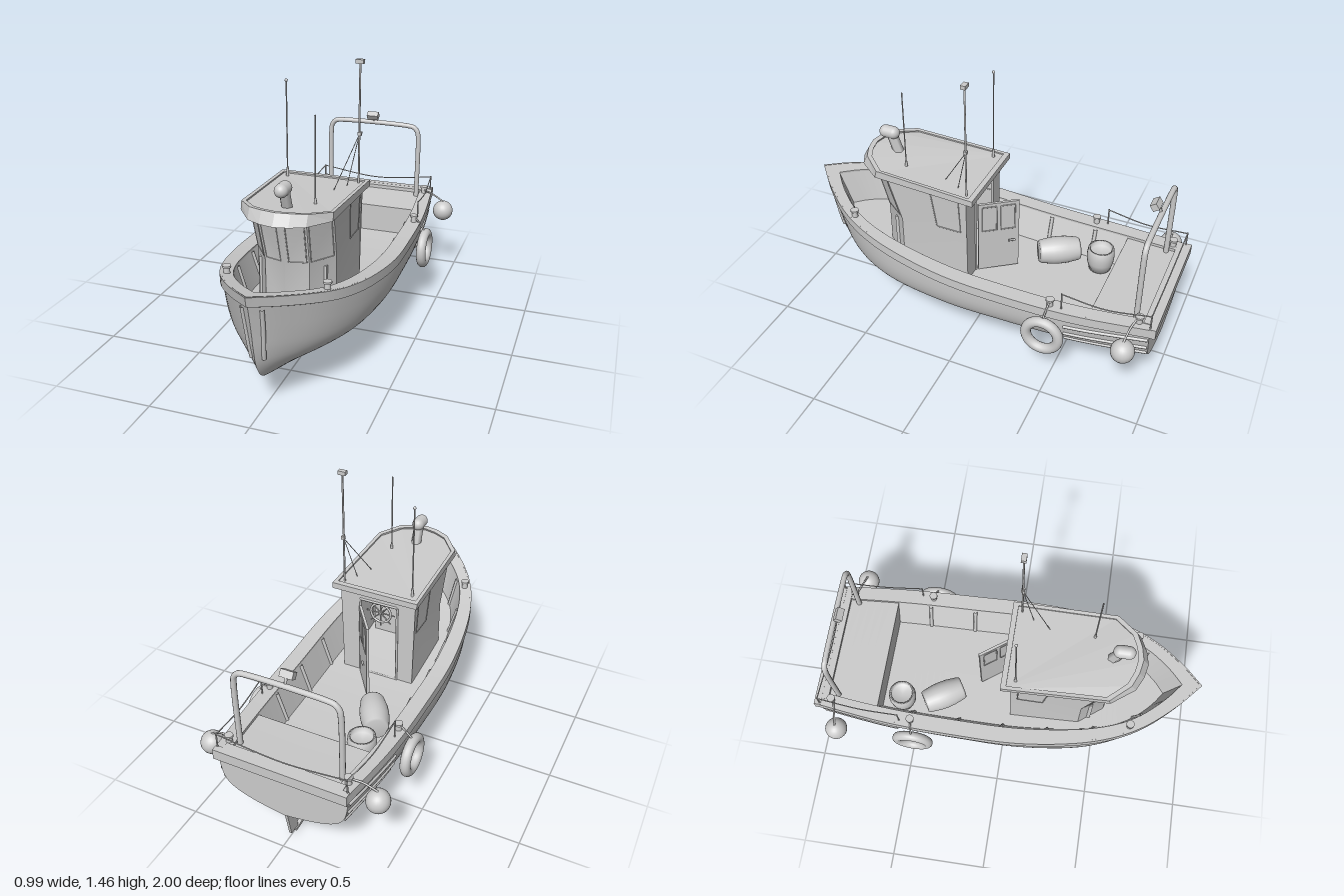
import * as THREE from 'three';
import { toCreasedNormals } from 'three/addons/utils/BufferGeometryUtils.js';

const V = (x, y, z) => new THREE.Vector3(x, y, z);
const { lerp, clamp } = THREE.MathUtils;
const grey = new THREE.MeshStandardMaterial({ color: 0xcccccc, side: THREE.DoubleSide });

// Smooth interpolation through a table of [x, y] pairs
function curve(table, x) {
  const n = table.length - 1;
  let i = 0;
  while (i < n - 1 && x > table[i + 1][0]) i++;
  const slope = k => {
    const a = table[Math.max(k - 1, 0)], b = table[Math.min(k + 1, n)];
    return (b[1] - a[1]) / (b[0] - a[0]);
  };
  const [x0, y0] = table[i], [x1, y1] = table[i + 1], h = x1 - x0;
  const t = clamp((x - x0) / h, 0, 1), t2 = t * t, t3 = t2 * t;
  return (2 * t3 - 3 * t2 + 1) * y0 + (t3 - 2 * t2 + t) * h * slope(i)
    + (3 * t2 - 2 * t3) * y1 + (t3 - t2) * h * slope(i + 1);
}
const listCurve = (list, t) => curve(list.map((y, i) => [i, y]), t * (list.length - 1));

// Hull lines: half breadth, sheer height, keel height, cross-sections
const halfBeam = u => curve([[-1, .333], [-.6, .375], [-.2, .389], [.1, .389], [.4, .354], [.6, .3], [.75, .225], [.9, .105], [1, 0]], u);
const sheer = u => curve([[-1, .475], [-.6, .457], [-.3, .457], [0, .47], [.3, .503], [.6, .55], [.8, .594], [1, .64]], u);
const keelY = u => curve([[-1, .183], [-.6, .142], [-.2, .11], [.2, .1], [.6, .1], [1, .115]], u);
const rake = u => Math.max(0, (u - .3) / .7) ** 2;
const sternX = [0, .22, .48, .74, .9, .97, 1, 1], sternY = [0, .04, .1, .2, .34, .54, .8, 1];
const midX = [0, .1, .36, .72, .9, .975, 1, 1], midY = [0, .05, .16, .28, .4, .58, .8, 1];
const bowX = [0, .1, .28, .48, .64, .78, .9, 1], bowY = [0, .05, .12, .26, .43, .6, .79, 1];
const stemZ = [.64, .76, .85, .905, .93, .945, .965, .99];
function hullPoint(u, t) {
  const w = rake(u), aft = clamp((-u - .2) / .75, 0, 1), k = keelY(u);
  const blend = (stern, mid, bow) =>
    lerp(lerp(listCurve(mid, t), listCurve(stern, t), aft), listCurve(bow, t), w);
  return V(halfBeam(u) * blend(sternX, midX, bowX),
    k + (sheer(u) - k) * blend(sternY, midY, bowY),
    u - w * (1 - listCurve(stemZ, t)));
}

// Surface through rows of points
function loft(rows, crease = .6) {
  const n = rows[0].length, index = [];
  for (let i = 0; i < rows.length - 1; i++) for (let j = 0; j < n - 1; j++) {
    const a = i * n + j;
    index.push(a, a + n, a + 1, a + 1, a + n, a + n + 1);
  }
  const g = new THREE.BufferGeometry().setFromPoints(rows.flat());
  g.setIndex(index);
  return toCreasedNormals(g, crease);
}
const range = (a, b, n, f) => Array.from({ length: n + 1 }, (_, i) => f(lerp(a, b, i / n)));

function mesh(parent, name, geo, x = 0, y = 0, z = 0) {
  const m = new THREE.Mesh(geo, grey);
  m.name = name;
  m.position.set(x, y, z);
  parent.add(m);
  return m;
}
const tube = (parent, name, pts, r, seg = 24, sides = 8) =>
  mesh(parent, name, new THREE.TubeGeometry(new THREE.CatmullRomCurve3(pts, false, 'centripetal'), seg, r, sides));
const bar = (parent, name, a, b, r) => tube(parent, name, [a, b], r, 1, 6);
const box = (parent, name, w, h, d, x, y, z) => mesh(parent, name, new THREE.BoxGeometry(w, h, d), x, y, z);
const cyl = (parent, name, r0, r1, h, x, y, z) => mesh(parent, name, new THREE.CylinderGeometry(r0, r1, h, 20), x, y, z);
const shape = pts => new THREE.Shape(pts.map(p => new THREE.Vector2(...p)));
const frame = (parent, name, c, r) => c.forEach((p, i) => bar(parent, name, p, c[(i + 1) % 4], r));

// Everything that appears on both sides of the boat
function hullSide() {
  const g = new THREE.Group();
  mesh(g, 'hullSide', loft(range(-.97, 1, 56, u => range(0, 1, 24, t => hullPoint(u, t)))));
  // rubbing band and gunwale cap
  mesh(g, 'gunwale', loft(range(-.99, 1, 56, u => {
    const b = halfBeam(u), y = sheer(u), w = rake(u), zi = u - w * .1;
    return [V(b * .99, y - .055, u - w * .02), V(b * 1.03, y - .05, u - w * .01), V(b * 1.03, y, u),
      V(b * .82, sheer(zi), zi), V(b * .82, sheer(zi) - .015, zi)];
  })));
  // inner lining and sole
  mesh(g, 'innerLining', loft(range(-.67, 1, 48, u => {
    const b = halfBeam(u), w = rake(u), zi = u - w * .1, zf = u - w * .17;
    return [V(b * .82, sheer(zi) - .01, zi), V(b * .68, sheer(zf) - .17, zf), V(0, sheer(zf) - .17, zf)];
  })));
  mesh(g, 'sternDeck', loft(range(-.99, -.67, 8, u => [V(halfBeam(u) * .82, sheer(u) - .015, u), V(0, sheer(u) - .015, u)])));
  for (const u of [-.49, -.24, 0, .24, .5, .76]) {
    const b = halfBeam(u), w = rake(u), zi = u - w * .1, zf = u - w * .17;
    bar(g, 'rib', V(b * .81, sheer(zi) - .015, zi), V(b * .68, sheer(zf) - .17, zf), .01);
  }
  // strakes on the quarter and guard strips at the bow
  for (const t of [.62, .72, .82])
    tube(g, 'strake', range(-.965, -.56, 6, u => hullPoint(u, t - (u + .96) * .06)), .009);
  tube(g, 'bowGuard', range(.5, .91, 6, t => hullPoint(.955, t)), .011);
  // fenders
  const ring = mesh(g, 'ringFender', new THREE.TorusGeometry(.084, .026, 14, 36), .424, .31, -.47);
  ring.rotation.y = Math.PI / 2;
  bar(g, 'ringRope', V(.36, .485, -.48), V(.424, .41, -.47), .005);
  mesh(g, 'buoy', new THREE.SphereGeometry(.058, 24, 16), .437, .385, -.875);
  tube(g, 'buoyRope', [V(.31, .49, -.9), V(.37, .475, -.885), V(.437, .44, -.875)], .005);
  // bollards
  for (const [x, z] of [[.355, -.48], [.31, -.91], [.245, .66]]) {
    cyl(g, 'bollardPost', .014, .016, .035, x, sheer(z) + .015, z);
    cyl(g, 'bollardCap', .021, .021, .01, x, sheer(z) + .034, z);
  }
  // guard rail
  for (const [x, z] of [[.362, -.54], [.335, -.97]]) bar(g, 'railPost', V(x, .46, z), V(x, .555, z), .004);
  tube(g, 'railWire', [V(.362, .55, -.54), V(.352, .525, -.75), V(.335, .55, -.97)], .003);
  return g;
}

function wheelhouse() {
  const g = new THREE.Group();
  const low = [[.2, .03], [.2, .4], [.11, .525], [0, .555]], high = [[.21, .03], [.21, .47], [.12, .59], [0, .62]];
  const waist = low.map(([x, z]) => V(x, .59, z)), top = high.map(([x, z]) => V(x, .822 + .03 * z, z));
  const base = low.map(([x, z]) => V(x, .3, z));
  for (const s of [1, -1]) {
    const side = new THREE.Group();
    side.name = s > 0 ? 'leftCabinSide' : 'rightCabinSide';
    side.scale.x = s;
    mesh(side, 'cabinWall', loft([base, waist, top]));
    const at = (i, a, b) => waist[i].clone().lerp(waist[i + 1], a).lerp(top[i].clone().lerp(top[i + 1], a), b);
    for (const [i, a, b] of [[0, .1, .45], [1, .08, .92], [2, .1, .82]])
      frame(side, 'windowFrame', [at(i, a, .08), at(i, b, .08), at(i, b, .92), at(i, a, .92)], .003);
    g.add(side);
  }
  // aft wall with doorway
  mesh(g, 'aftWall', new THREE.ShapeGeometry(shape([[-.2, .3], [-.21, .825], [.21, .825], [.2, .3], [.1, .3], [.1, .76], [-.11, .76], [-.11, .3]])), 0, 0, .03);
  frame(g, 'doorFrame', [V(-.11, .3, .03), V(.1, .3, .03), V(.1, .76, .03), V(-.11, .76, .03)], .007);
  // roof slab and raised lip, sweeping up and back at the front
  const outline = k => [[.235, .015], [.225, -.53], [.14, -.645], [.07, -.68], [0, -.695], [-.07, -.68], [-.14, -.645], [-.225, -.53], [-.235, .015]]
    .map(([x, y]) => [x * k, (y + .33) * k - .33]);
  const roofPart = (name, s, h) => {
    const geo = new THREE.ExtrudeGeometry(s, { depth: h, bevelEnabled: false }).rotateX(-Math.PI / 2);
    const p = geo.attributes.position;
    for (let i = 0; i < p.count; i++) {
      const y = p.getY(i), z = p.getZ(i), front = clamp((z - .45) / .24, 0, 1);
      p.setY(i, y * (1 + .8 * front) + .815 + .03 * z);
      p.setZ(i, z - y * front);
    }
    geo.computeVertexNormals();
    mesh(g, name, geo);
  };
  roofPart('roof', shape(outline(.97)), .024);
  const lip = shape(outline(1));
  lip.holes.push(new THREE.Path(outline(.92).map(p => new THREE.Vector2(...p))));
  roofPart('roofLip', lip, .032);
  // open door
  const door = new THREE.Group();
  door.name = 'door';
  door.position.set(.03, .515, -.068);
  door.rotation.y = -.942;
  box(door, 'doorPanel', .215, .42, .014, 0, 0, 0);
  for (const z of [-.008, .008]) for (const x of [-.048, .048])
    frame(door, 'doorWindow', [V(x - .037, .04, z), V(x + .037, .04, z), V(x + .037, .19, z), V(x - .037, .19, z)], .003);
  bar(door, 'doorHandle', V(-.085, -.03, -.02), V(-.05, -.03, -.02), .006);
  g.add(door);
  // helm
  box(g, 'console', .34, .27, .1, 0, .435, .41);
  const helm = new THREE.Group();
  helm.name = 'helm';
  helm.position.set(.11, .5, .3);
  mesh(helm, 'steeringWheel', new THREE.TorusGeometry(.06, .007, 8, 28));
  for (let i = 0; i < 4; i++) {
    const a = i * Math.PI / 4, x = .085 * Math.cos(a), y = .085 * Math.sin(a);
    bar(helm, 'wheelSpoke', V(-x, -y, 0), V(x, y, 0), .004);
  }
  bar(helm, 'wheelShaft', V(0, 0, -.01), V(0, 0, .07), .012);
  g.add(helm);
  return g;
}

export function createModel() {
  const boat = new THREE.Group();
  boat.name = 'fishingBoat';
  for (const s of [1, -1]) {
    const side = hullSide();
    side.name = s > 0 ? 'leftSide' : 'rightSide';
    side.scale.x = s;
    boat.add(side);
  }
  // transom, stern rim and cockpit bulkhead
  const half = range(0, 1, 24, t => hullPoint(-.97, t)).map(p => [p.x, p.y]);
  mesh(boat, 'transom', new THREE.ShapeGeometry(shape([...half, ...half.slice(1).reverse().map(([x, y]) => [-x, y])])), 0, 0, -.97);
  box(boat, 'sternRim', .69, .055, .035, 0, .45, -.9825);
  box(boat, 'sternCap', .62, .02, .06, 0, .4665, -.96);
  mesh(boat, 'bulkhead', new THREE.ShapeGeometry(shape([[-.305, .445], [-.25, .287], [.25, .287], [.305, .445]])), 0, 0, -.67);

  // keel, rudder (drawn in z, y and turned into the centre plane)
  const plate = (name, pts, d) => mesh(boat, name, new THREE.ExtrudeGeometry(shape(pts.map(([z, y]) => [-z, y])),
    { depth: d, bevelEnabled: false }).translate(0, 0, -d / 2).rotateY(Math.PI / 2));
  plate('keel', [[.58, .115], [-.7, .16], [-.71, .03], [-.89, .015], [-.89, 0], [-.7, .008], [.5, .095]], .02);
  plate('rudder', [[-.885, .19], [-.96, .19], [-.93, .02], [-.87, .02]], .014);

  // propeller
  const prop = new THREE.Group();
  prop.name = 'propeller';
  prop.position.set(0, .085, -.74);
  cyl(prop, 'hub', .012, .012, .06, 0, 0, 0).rotation.x = Math.PI / 2;
  for (let i = 0; i < 3; i++) {
    const arm = new THREE.Group();
    arm.rotation.z = i * Math.PI * 2 / 3 + .9;
    const blade = mesh(arm, 'blade', new THREE.SphereGeometry(1, 12, 8), 0, .032, 0);
    blade.scale.set(.019, .026, .004);
    blade.rotation.y = .6;
    prop.add(arm);
  }
  boat.add(prop);

  const cabin = wheelhouse();
  cabin.name = 'wheelhouse';
  boat.add(cabin);

  // searchlight on the roof
  bar(boat, 'searchlightStem', V(0, .85, .51), V(0, .965, .55), .028);
  const lamp = mesh(boat, 'searchlight', new THREE.CapsuleGeometry(.033, .045, 8, 20), 0, .967, .56);
  lamp.rotation.x = Math.PI / 2;

  // aerials, mast and stays
  for (const [x, z, h] of [[-.18, .055, 1.34], [.1, .415, 1.28]]) {
    bar(boat, 'aerial', V(x, .83, z), V(x, h, z), .0035);
    cyl(boat, 'aerialFoot', .006, .008, .05, x, .86, z);
  }
  mesh(boat, 'aerialTip', new THREE.SphereGeometry(.008, 10, 8), -.18, 1.335, .055);
  bar(boat, 'mast', V(.19, .83, .035), V(.19, 1.45, .035), .005);
  box(boat, 'mastHead', .04, .02, .025, .19, 1.45, .035);
  box(boat, 'mastFitting', .018, .016, .018, .193, 1.095, .035);
  bar(boat, 'stay', V(.19, 1.09, .035), V(.11, .84, .19), .002);
  bar(boat, 'stay', V(.19, 1.09, .035), V(.15, .84, .1), .002);

  // stern gantry with work light
  const arch = [[-.268, .45], [-.268, .81], [-.262, .85], [-.24, .875], [-.2, .882], [.2, .882], [.24, .875], [.262, .85], [.268, .81], [.268, .45]];
  tube(boat, 'gantry', arch.map(([x, y]) => V(x, y, -.885)), .014, 90, 12);
  bar(boat, 'workLightBracket', V(0, .885, -.885), V(0, .925, -.87), .007);
  box(boat, 'workLight', .065, .035, .035, 0, .932, -.855).rotation.x = .6;
  tube(boat, 'sternWire', [V(-.335, .55, -.97), V(0, .515, -.965), V(.335, .55, -.97)], .003);

  // upright open barrel and lying barrel in the cockpit
  const profile = (name, pts) => mesh(boat, name, new THREE.LatheGeometry(pts.map(p => new THREE.Vector2(...p)), 28));
  profile('openBarrel', [[0, 0], [.058, 0], [.07, .05], [.073, .09], [.068, .13], [.056, .13], [.056, .1], [0, .1]]).position.set(-.2, .288, -.56);
  const barrel = profile('barrel', [[0, -.11], [.056, -.11], [.062, -.1], [.072, -.04], [.074, 0], [.072, .04], [.062, .1], [.056, .11], [0, .11]]);
  barrel.position.set(-.16, .362, -.34);
  barrel.rotation.set(Math.PI / 2, .55, 0, 'YXZ');
  return boat;
}
